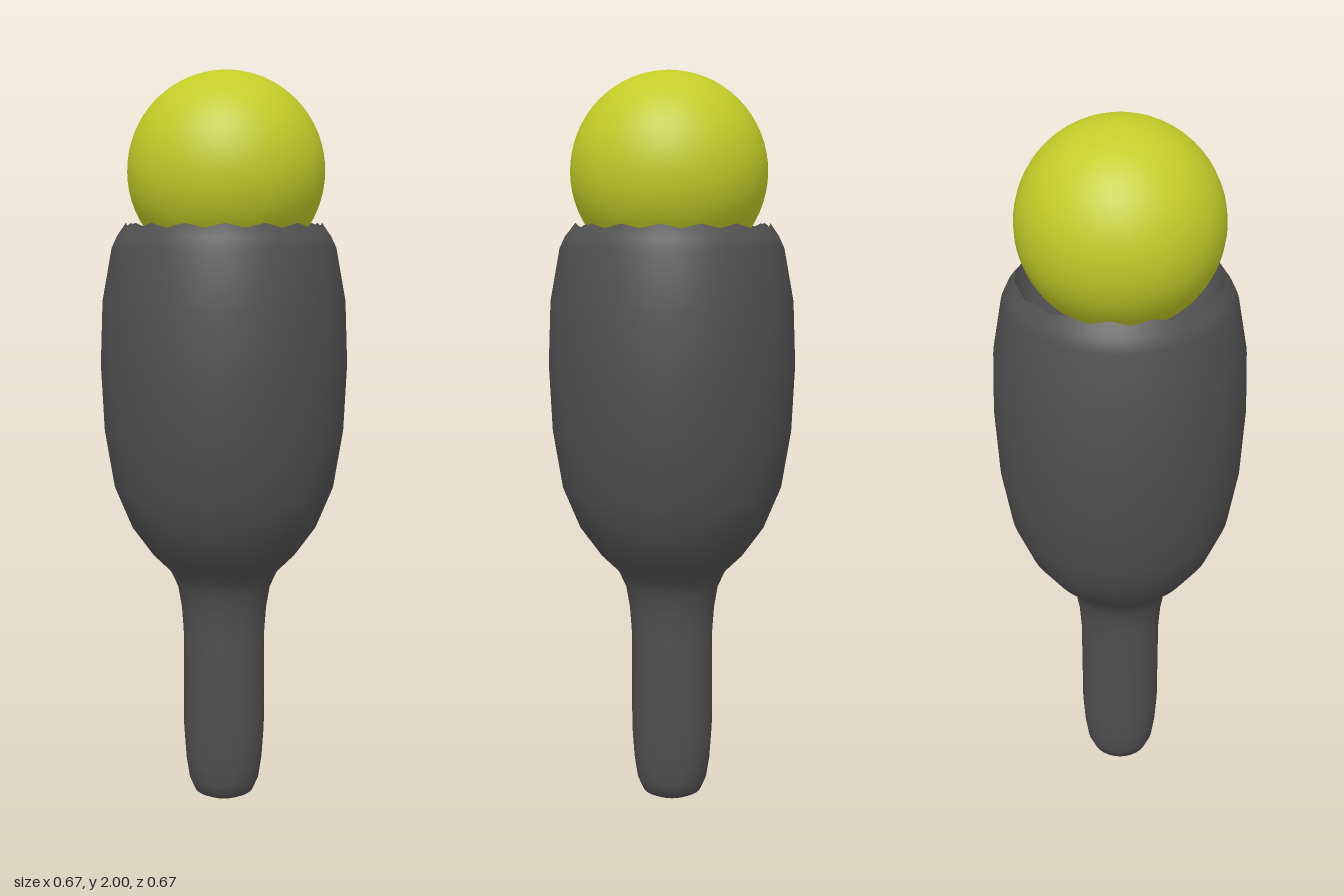
import * as THREE from 'three';

const grey = new THREE.MeshStandardMaterial({ color: 0x505050, roughness: 0.8 });
const yellow = new THREE.MeshStandardMaterial({ color: 0xc4cc28, roughness: 0.8 });
const RIM = 1.6;

// Turns a profile of [radius, height] pairs; points on the rim get small scallops
function turned(name, profile) {
  const geo = new THREE.LatheGeometry(profile.map(([r, y]) => new THREE.Vector2(r, y)), 64);
  const pos = geo.attributes.position;
  for (let i = 0; i < pos.count; i++) {
    if (Math.abs(pos.getY(i) - RIM) > 0.001) continue;
    const angle = Math.atan2(pos.getX(i), pos.getZ(i));
    pos.setY(i, RIM + 0.006 * Math.cos(16 * angle));
  }
  const mesh = new THREE.Mesh(geo, grey);
  mesh.name = name;
  return mesh;
}

export function createModel() {
  const model = new THREE.Group();
  model.name = 'ballTopStick';

  // Slim handle flaring into a barrel-shaped holder
  model.add(turned('handleAndHolder', [
    [0, 0], [0.06, 0.003], [0.083, 0.015], [0.098, 0.05], [0.107, 0.11], [0.113, 0.2],
    [0.113, 0.48], [0.118, 0.55], [0.128, 0.61], [0.15, 0.658], [0.2, 0.708],
    [0.255, 0.785], [0.3, 0.895], [0.325, 1.05], [0.333, 1.23], [0.326, 1.4],
    [0.3, 1.54], [0.285, 1.572], [0.262, RIM],
  ]));

  // Hollow that cradles the ball
  model.add(turned('socket', [
    [0.262, RIM], [0.25, 1.565], [0.222, 1.525], [0.17, 1.49], [0.09, 1.47], [0, 1.465],
  ]));

  // Ball resting in the socket, very slightly off centre
  const ball = new THREE.Mesh(new THREE.SphereGeometry(0.262, 48, 32), yellow);
  ball.name = 'ball';
  ball.position.set(0.008, 1.738, 0);
  model.add(ball);

  return model;
}
